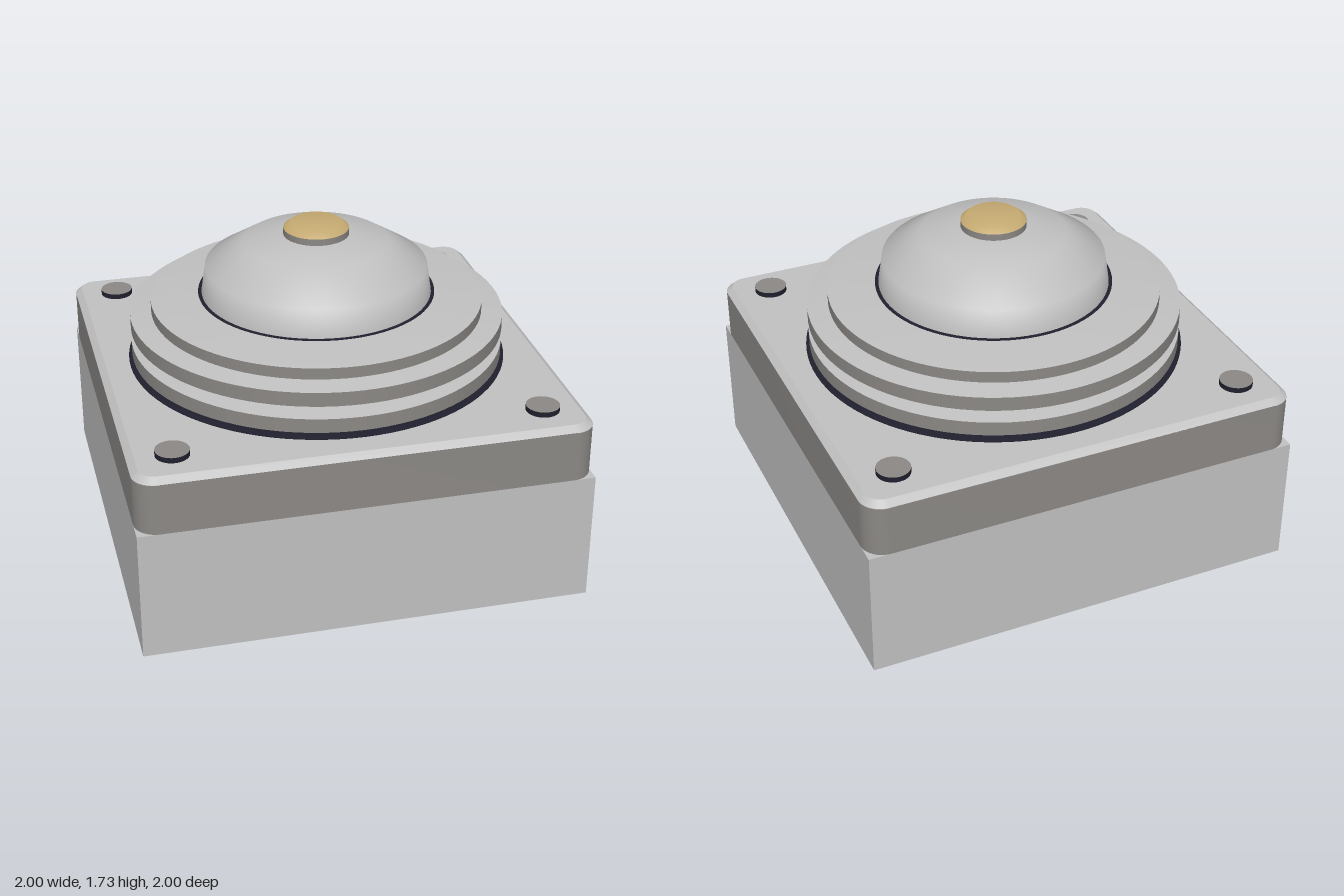
import * as THREE from 'three';
import { toCreasedNormals } from 'three/addons/utils/BufferGeometryUtils.js';

const material = (name, color) => {
  const m = new THREE.MeshStandardMaterial({ color });
  m.name = name;
  return m;
};

// Square outline with rounded corners
function roundedSquare(h, r) {
  const s = new THREE.Shape();
  const c = h - r;
  s.absarc(c, c, r, 0, Math.PI / 2);
  s.absarc(-c, c, r, Math.PI / 2, Math.PI);
  s.absarc(-c, -c, r, Math.PI, Math.PI * 1.5);
  s.absarc(c, -c, r, Math.PI * 1.5, Math.PI * 2);
  s.closePath();
  return s;
}

export function createModel() {
  const light = material('lightGrey', 0xc0c0c0);
  const dark = material('darkGrey', 0x8b8885);
  const navy = material('navySeal', 0x20202e);
  const gold = material('gold', 0xc5aa72);
  const model = new THREE.Group();

  const add = (name, geometry, mat, x = 0, y = 0, z = 0, parent = model) => {
    const mesh = new THREE.Mesh(geometry, mat);
    mesh.name = name;
    mesh.position.set(x, y, z);
    parent.add(mesh);
    return mesh;
  };
  const lathe = (name, points, mat, parent = model) =>
    add(name, new THREE.LatheGeometry(points.map(p => new THREE.Vector2(...p)), 96), mat, 0, 0, 0, parent);

  // Square housing
  add('housing', new THREE.BoxGeometry(2, 0.6, 2), light, 0, 0.54, 0);

  // Cover plate: dark walls below a light bevelled top
  const walls = new THREE.ExtrudeGeometry(roundedSquare(1, 0.1),
    { depth: 0.235, bevelEnabled: false, curveSegments: 8 });
  walls.rotateX(-Math.PI / 2);
  add('coverWalls', toCreasedNormals(walls, 0.5), dark, 0, 0.84, 0);

  const top = new THREE.ExtrudeGeometry(roundedSquare(0.97, 0.07),
    { depth: 0.002, bevelSize: 0.03, bevelThickness: 0.025, bevelSegments: 1, curveSegments: 8 });
  top.rotateX(-Math.PI / 2);
  add('coverTop', toCreasedNormals(top, 0.5), light, 0, 1.073, 0);

  // Contact pins in a three by three grid
  const pins = new THREE.Group();
  pins.name = 'pins';
  model.add(pins);
  const pinGeometry = new THREE.CylinderGeometry(0.074, 0.074, 0.25, 32);
  for (const x of [-0.52, 0, 0.52]) {
    for (const z of [-0.52, 0, 0.52]) add('pin', pinGeometry, light, x, 0.125, z, pins);
  }

  // Corner screws with dark rims
  const screwRim = new THREE.CylinderGeometry(0.074, 0.074, 0.023, 32);
  const screwFace = new THREE.CircleGeometry(0.074, 32).rotateX(-Math.PI / 2);
  for (const x of [-0.81, 0.81]) {
    for (const z of [-0.81, 0.81]) {
      const screw = new THREE.Group();
      screw.name = 'screw';
      screw.position.set(x, 1.1, z);
      add('screwRim', screwRim, navy, 0, 0.0115, 0, screw);
      add('screwFace', screwFace, dark, 0, 0.0245, 0, screw);
      model.add(screw);
    }
  }

  // Stepped collar with two flanges
  const collar = new THREE.Group();
  collar.name = 'collar';
  model.add(collar);
  lathe('collarNeck', [[0.75, 1.09], [0.75, 1.38]], dark, collar);
  for (const [low, high] of [[1.125, 1.19], [1.25, 1.315]]) {
    lathe('flangeUnderside', [[0.75, low], [0.845, low]], dark, collar);
    lathe('flangeRim', [[0.845, low], [0.845, high]], dark, collar);
    lathe('flangeTop', [[0.845, high], [0.75, high + 0.013]], light, collar);
  }
  lathe('collarTop', [[0.75, 1.38], [0.53, 1.4], [0.45, 1.4]], light, collar);

  // Thin dark seals around the collar and the dome
  lathe('collarSeal', [[0.86, 1.1], [0.86, 1.104], [0.8, 1.104]], navy);
  lathe('domeSeal', [[0.535, 1.4], [0.535, 1.403], [0.51, 1.403]], navy);

  // Dome
  lathe('dome', [[0.52, 1.4], [0.5, 1.53], [0.325, 1.64], [0.145, 1.673], [0, 1.675]], light);

  // Button on top with a gold cap
  lathe('buttonStem', [[0.147, 1.66], [0.147, 1.703]], dark);
  lathe('buttonCap', [[0.147, 1.703], [0.115, 1.728], [0, 1.731]], gold);

  return model;
}
